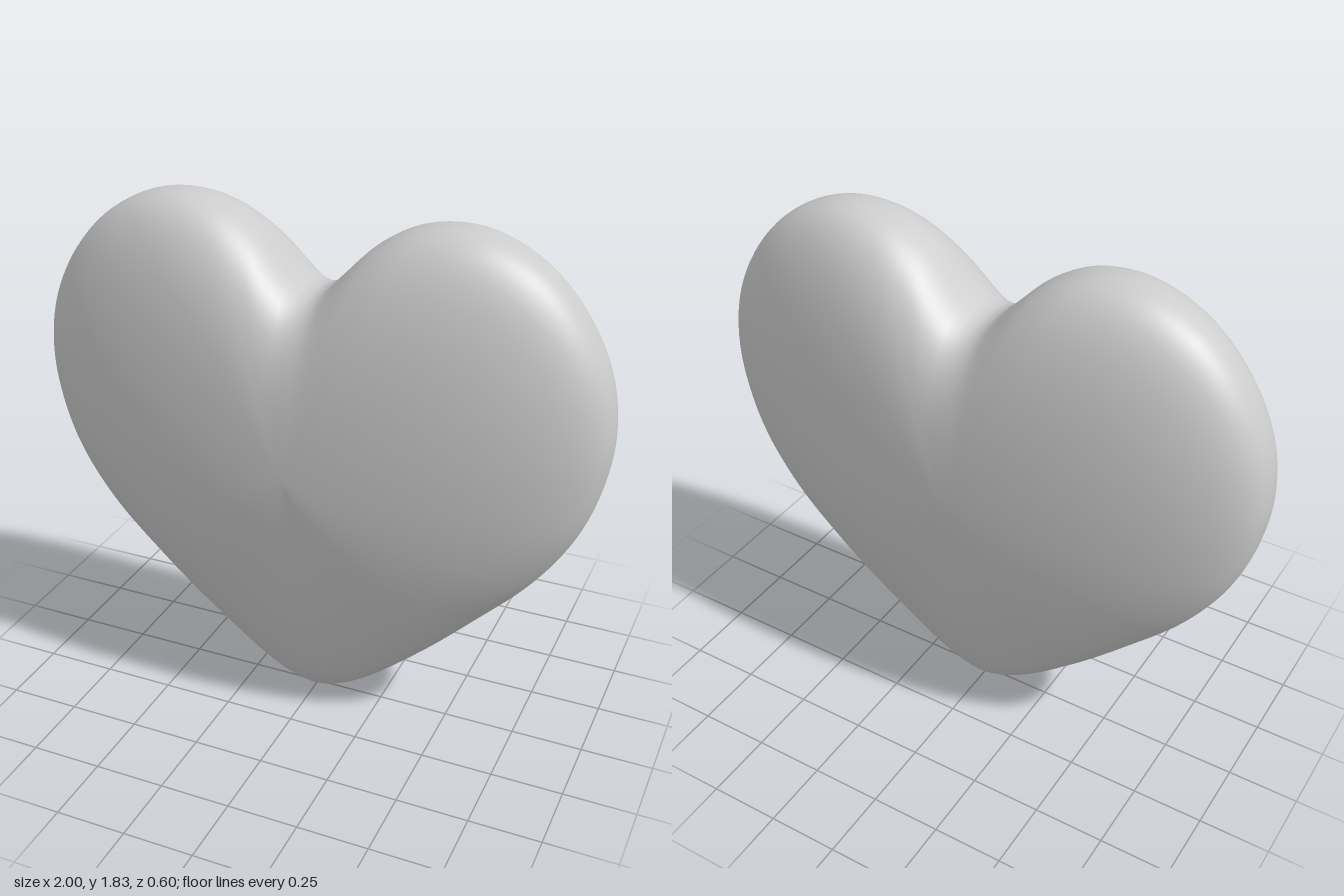
import * as THREE from 'three';
import { mergeVertices } from 'three/addons/utils/BufferGeometryUtils.js';

const CENTRE_Y = 1.0;
const HALF_DEPTH = 0.3;

// Right half of the heart outline, from the bottom tip up to the notch
const HALF = [
  [0, 0], [0.09, 0.022], [0.2, 0.085], [0.4, 0.255], [0.6, 0.455], [0.8, 0.67],
  [0.92, 0.86], [0.98, 1.04], [1, 1.22], [0.97, 1.41], [0.88, 1.59], [0.75, 1.73],
  [0.6, 1.81], [0.47, 1.83], [0.33, 1.805], [0.2, 1.73], [0.1, 1.63], [0.045, 1.575], [0, 1.56],
];

function heartOutline() {
  const mirrored = HALF.slice(1, -1).reverse().map(([x, y]) => [-x, y]);
  const points = [...HALF, ...mirrored].map(([x, y]) => new THREE.Vector3(x, y, 0));
  const curve = new THREE.CatmullRomCurve3(points, true, 'centripetal');
  curve.arcLengthDivisions = 1000;
  return curve;
}

// Sphere whose rings become shrinking copies of the heart outline
function puffyHeart(segments, rings) {
  const rim = heartOutline().getSpacedPoints(segments);
  const geometry = new THREE.SphereGeometry(1, segments, rings);
  const pos = geometry.attributes.position;

  for (let i = 0; i < pos.count; i++) {
    const column = i % (segments + 1);
    const v = Math.floor(i / (segments + 1)) / rings * Math.PI;
    const s = Math.sin(v);
    const dx = rim[column].x;
    const dy = rim[column].y - CENTRE_Y;
    const radius = Math.hypot(dx, dy);

    // The notch fades out towards the middle of each face
    const fromTop = Math.atan2(dx, dy);
    const notch = Math.exp(-((fromTop / 0.4) ** 2));
    const grow = 1 + notch * (1 - s) * Math.max(0, 0.8 - radius) / radius;

    // Full, round edge on the lobes; slimmer taper towards the tip
    const tip = Math.max(0, -dy / radius) ** 5;
    const a = THREE.MathUtils.lerp(2, 1.4, tip);
    const b = THREE.MathUtils.lerp(0.4, 0.57, tip);
    const z = HALF_DEPTH * Math.max(0, 1 - s ** a) ** b * Math.sign(Math.cos(v));

    pos.setXYZ(i, dx * s * grow, CENTRE_Y + dy * s * grow, z);
  }

  // Weld the seam so the shading is continuous
  geometry.deleteAttribute('uv');
  geometry.deleteAttribute('normal');
  const welded = mergeVertices(geometry, 1e-5);
  welded.computeVertexNormals();
  return welded;
}

export function createModel() {
  const group = new THREE.Group();
  group.name = 'heartModel';
  const material = new THREE.MeshStandardMaterial({ color: 0xcccccc });
  const heart = new THREE.Mesh(puffyHeart(160, 80), material);
  heart.name = 'heart';
  group.add(heart);
  return group;
}
